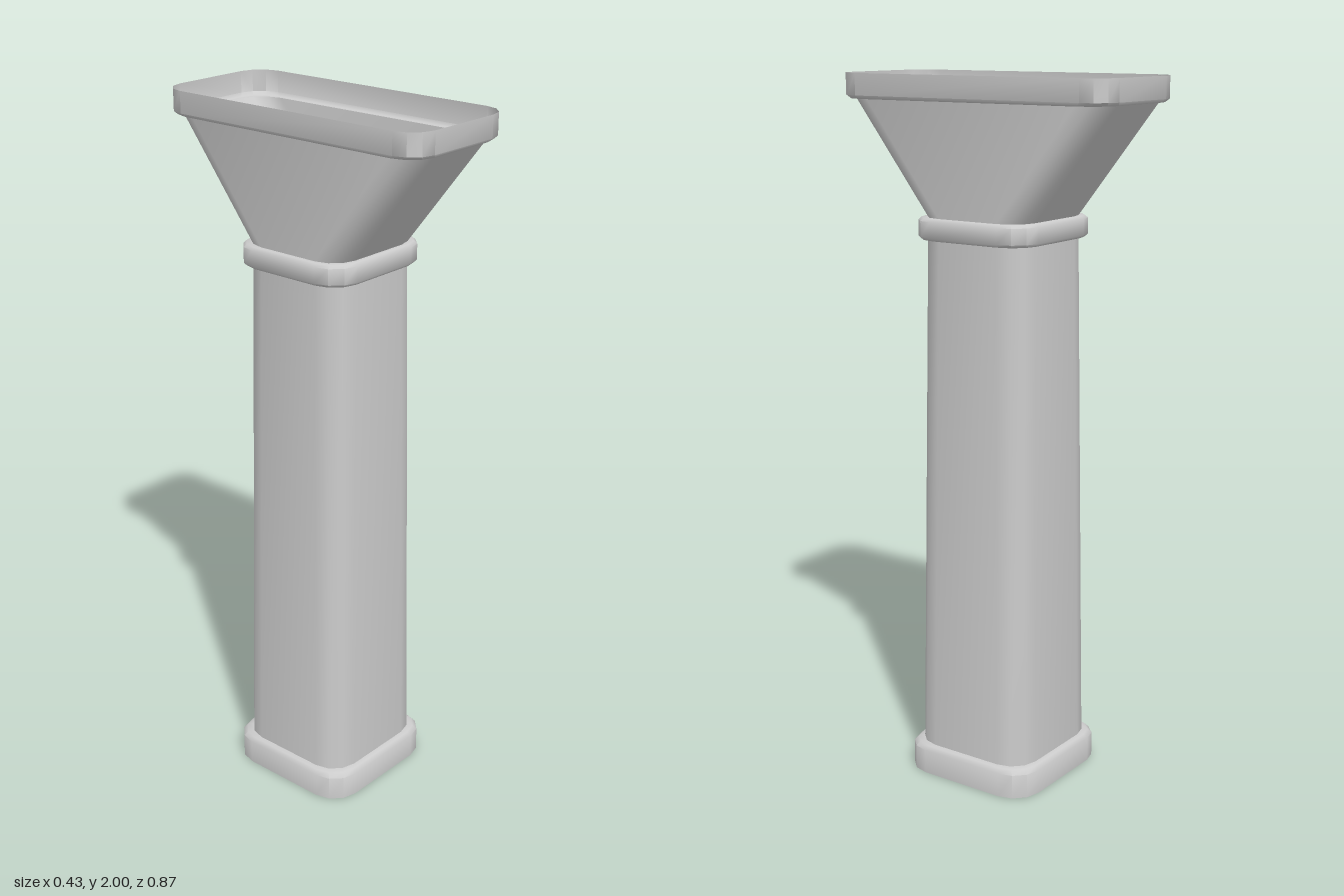
import * as THREE from 'three';
import { toCreasedNormals } from 'three/addons/utils/BufferGeometryUtils.js';

const CORNER_STEPS = 3;

// Rounded rectangle in the xz plane at height y: half width hx, half depth hz, corner radius r
function ring([y, hx, hz, r]) {
  const points = [];
  for (let corner = 0; corner < 4; corner++) {
    const sx = corner === 0 || corner === 3 ? 1 : -1;
    const sz = corner < 2 ? 1 : -1;
    for (let i = 0; i <= CORNER_STEPS; i++) {
      const a = (corner + i / CORNER_STEPS) * Math.PI / 2;
      points.push([sx * (hx - r) + r * Math.cos(a), y, sz * (hz - r) + r * Math.sin(a)]);
    }
  }
  return points;
}

// Open skin through a stack of rounded rectangles, listed from bottom to top
function loft(sections) {
  const rings = sections.map(ring);
  const n = rings[0].length;
  const positions = rings.flat(2);
  const index = [];
  for (let k = 0; k < rings.length - 1; k++) {
    for (let i = 0; i < n; i++) {
      const j = (i + 1) % n;
      const a = k * n + i, b = k * n + j;
      index.push(a, a + n, b, b, a + n, b + n);
    }
  }
  const geometry = new THREE.BufferGeometry();
  geometry.setAttribute('position', new THREE.Float32BufferAttribute(positions, 3));
  geometry.setIndex(index);
  return toCreasedNormals(geometry, 0.87);
}

export function createModel() {
  const group = new THREE.Group();
  group.name = 'funnelColumn';
  const material = new THREE.MeshStandardMaterial({ color: 0xcccccc, side: THREE.DoubleSide });

  // Each section: height, half width, half depth, corner radius
  const parts = {
    // Flared foot, open underneath, with a ledge stepping in to the shaft
    base: [
      [0, 0.213, 0.213, 0.083],
      [0.07, 0.213, 0.213, 0.083],
      [0.082, 0.203, 0.203, 0.08],
      [0.084, 0.19, 0.19, 0.08],
    ],
    // Hollow, slightly tapering shaft
    shaft: [
      [0.084, 0.19, 0.19, 0.08],
      [1.56, 0.17, 0.17, 0.075],
    ],
    // Raised band between shaft and funnel
    collar: [
      [1.56, 0.17, 0.17, 0.075],
      [1.56, 0.182, 0.182, 0.075],
      [1.568, 0.19, 0.19, 0.08],
      [1.612, 0.19, 0.19, 0.08],
      [1.62, 0.182, 0.182, 0.075],
      [1.62, 0.17, 0.17, 0.075],
    ],
    // Hopper that widens front to back only
    funnel: [
      [1.62, 0.17, 0.17, 0.075],
      [1.93, 0.172, 0.415, 0.078],
    ],
    // Upright lip, open at the top
    rim: [
      [1.93, 0.172, 0.415, 0.078],
      [1.931, 0.182, 0.427, 0.075],
      [1.94, 0.19, 0.435, 0.073],
      [2, 0.19, 0.435, 0.073],
    ],
  };

  for (const [name, sections] of Object.entries(parts)) {
    const mesh = new THREE.Mesh(loft(sections), material);
    mesh.name = name;
    group.add(mesh);
  }
  return group;
}
